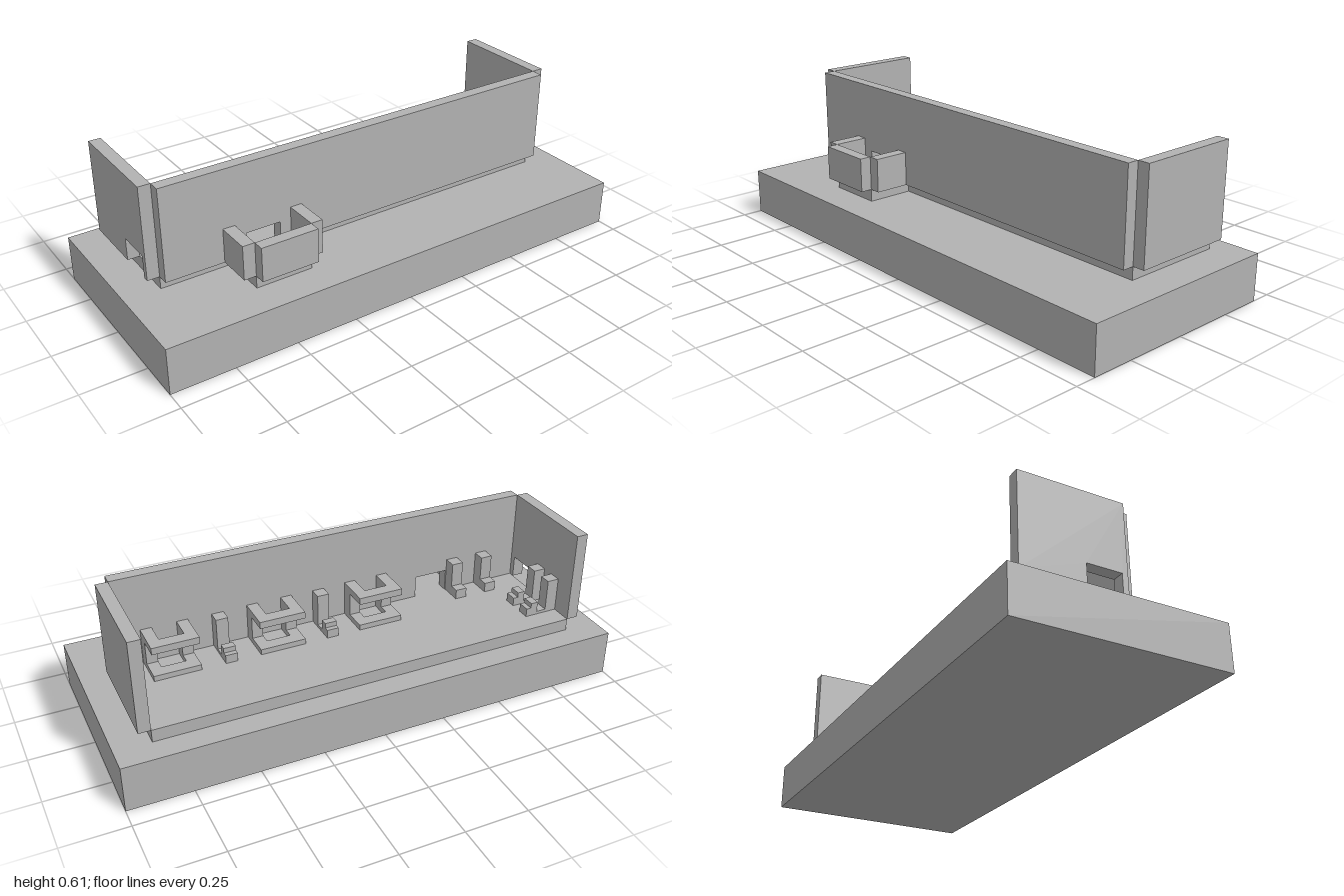
import * as THREE from 'three';

const grey = new THREE.MeshStandardMaterial({ color: 0xb2b2b2 });
grey.name = 'plain grey';

const FLOOR = 0.235; // top of the floor slab
const TOP = 0.605; // top of the main walls

// Box given by its two opposite corners
function box(parent, name, x0, x1, y0, y1, z0, z1) {
  const mesh = new THREE.Mesh(new THREE.BoxGeometry(x1 - x0, y1 - y0, z1 - z0), grey);
  mesh.position.set((x0 + x1) / 2, (y0 + y1) / 2, (z0 + z1) / 2);
  mesh.name = name;
  parent.add(mesh);
  return mesh;
}

// Upright wall along x with a doorway cut up from its lower edge
function doorWall(name, a0, a1, d0, d1, doorTop, thickness) {
  const s = new THREE.Shape();
  [[a0, FLOOR], [d0, FLOOR], [d0, doorTop], [d1, doorTop], [d1, FLOOR], [a1, FLOOR], [a1, TOP], [a0, TOP]]
    .forEach(([x, y], i) => (i ? s.lineTo(x, y) : s.moveTo(x, y)));
  const geo = new THREE.ExtrudeGeometry(s, { depth: thickness, bevelEnabled: false });
  const mesh = new THREE.Mesh(geo, grey);
  mesh.name = name;
  return mesh;
}

// U-shaped plate, open towards the wall at z = 0
function uPlate(parent, name, y, h) {
  const s = new THREE.Shape();
  [[-0.092, 0], [-0.092, 0.14], [0.092, 0.14], [0.092, 0], [0.048, 0], [0.048, 0.09], [-0.048, 0.09], [-0.048, 0]]
    .forEach(([x, d], i) => (i ? s.lineTo(x, d) : s.moveTo(x, d)));
  const geo = new THREE.ExtrudeGeometry(s, { depth: h, bevelEnabled: false });
  geo.rotateX(-Math.PI / 2); // depth runs to -z, thickness runs up
  const mesh = new THREE.Mesh(geo, grey);
  mesh.position.y = y;
  mesh.name = name;
  parent.add(mesh);
}

// Desk: lower and upper U plates joined by a post at each end of the wall
function desk(x) {
  const g = new THREE.Group();
  g.name = 'desk';
  uPlate(g, 'deskFoot', 0, 0.022);
  uPlate(g, 'deskTop', 0.115, 0.028);
  for (const side of [-1, 1]) box(g, 'deskPost', side * 0.07 - 0.022, side * 0.07 + 0.022, 0.022, 0.115, -0.05, 0);
  g.position.set(x, FLOOR, 0.093);
  return g;
}

// Tall cabinet against the wall, with a low step in front
function cabinet(name, stepHeight) {
  const g = new THREE.Group();
  g.name = name;
  box(g, 'cabinetBody', -0.024, 0.024, 0, 0.14, -0.05, 0);
  box(g, 'cabinetStep', -0.024, 0.024, 0, stepHeight, -0.09, -0.05);
  return g;
}

// Cabinet with a small stepped seat standing before it
function station() {
  const g = cabinet('station', 0.012);
  box(g, 'seatBack', -0.024, 0.024, 0, 0.055, -0.12, -0.09);
  box(g, 'seatFront', -0.024, 0.024, 0, 0.035, -0.14, -0.12);
  return g;
}

export function createModel() {
  const model = new THREE.Group();
  model.name = 'building';

  // Ground block and floors
  box(model, 'base', -1, 1, 0, 0.185, -0.42, 0.42);
  box(model, 'floor', -0.86, 0.86, 0.185, FLOOR, -0.325, 0.093);
  box(model, 'porchFloor', -0.58, -0.35, 0.185, FLOOR, 0.093, 0.28);

  // Main walls, hung on the outside of the floor
  const front = doorWall('frontWall', -0.86, 0.86, -0.535, -0.395, 0.325, 0.047);
  front.position.z = 0.093;
  model.add(front);
  box(model, 'leftWall', 0.86, 0.907, FLOOR, TOP, -0.325, 0.093);
  const right = doorWall('rightWall', -0.093, 0.325, -0.07, 0.07, 0.325, 0.047);
  right.rotation.y = Math.PI / 2;
  right.position.x = -0.907;
  model.add(right);

  // Porch walls
  box(model, 'porchFront', -0.58, -0.35, FLOOR, 0.372, 0.28, 0.326);
  box(model, 'porchRight', -0.628, -0.58, FLOOR, 0.372, 0.14, 0.28);
  box(model, 'porchLeft', -0.35, -0.303, FLOOR, 0.372, 0.14, 0.28);

  // Furniture along the front wall
  for (const x of [-0.163, 0.253, 0.673]) model.add(desk(x));
  for (const x of [0.045, 0.463]) {
    const s = station();
    s.position.set(x, FLOOR, 0.093);
    model.add(s);
  }
  for (const x of [-0.7, -0.562]) {
    const c = cabinet('cabinet', 0.04);
    c.position.set(x, FLOOR, 0.093);
    model.add(c);
  }

  // Stations along the right wall, facing inwards
  for (const z of [-0.215, -0.12]) {
    const s = station();
    s.rotation.y = -Math.PI / 2;
    s.position.set(-0.862, FLOOR, z);
    model.add(s);
  }
  return model;
}
